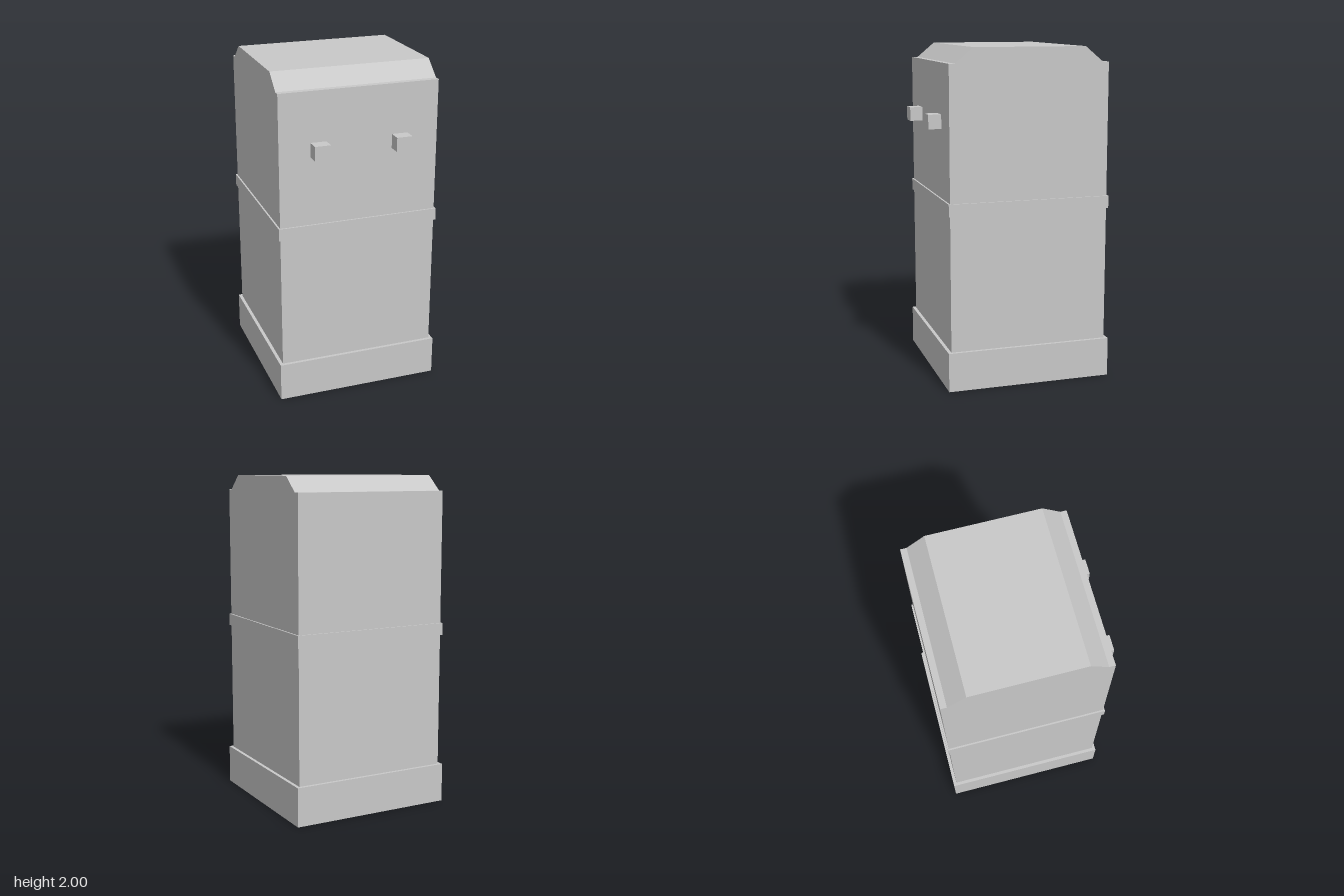
import * as THREE from 'three';

export function createModel() {
  const grey = new THREE.MeshStandardMaterial({ color: 0xc8c8c8 });
  grey.name = 'plain grey';
  const model = new THREE.Group();
  model.name = 'pillar';
  const centreZ = -0.03;

  const add = (name, geometry, x, y, z) => {
    const mesh = new THREE.Mesh(geometry, grey);
    mesh.name = name;
    mesh.position.set(x, y, z);
    model.add(mesh);
  };
  // Box given by its bottom and top heights
  const block = (name, width, bottom, top, depth, x = 0, z = centreZ) =>
    add(name, new THREE.BoxGeometry(width, top - bottom, depth), x, (bottom + top) / 2, z);

  // Square base and the band round the middle
  block('base', 1, 0, 0.235, 1);
  block('band', 0.98, 1.045, 1.118, 0.98);

  // Body with a bevelled roof: side profile extruded across the width
  const half = 0.48, eaves = 1.91;
  const profile = new THREE.Shape([
    [-half, 0.235], [half, 0.235], [half, eaves], [0.443, eaves], [0.335, 2],
    [-0.335, 2], [-0.443, eaves], [-half, eaves],
  ].map(([z, y]) => new THREE.Vector2(-z, y)));
  const body = new THREE.ExtrudeGeometry(profile, { depth: 2 * half, bevelEnabled: false });
  body.translate(0, 0, -half).rotateY(Math.PI / 2);
  add('body', body, 0, 0, centreZ);

  // Two square pegs on the front
  for (const [side, name] of [[1, 'leftPeg'], [-1, 'rightPeg']]) {
    block(name, 0.095, 1.528, 1.612, 0.077, side * 0.246, 0.4885);
  }
  return model;
}
